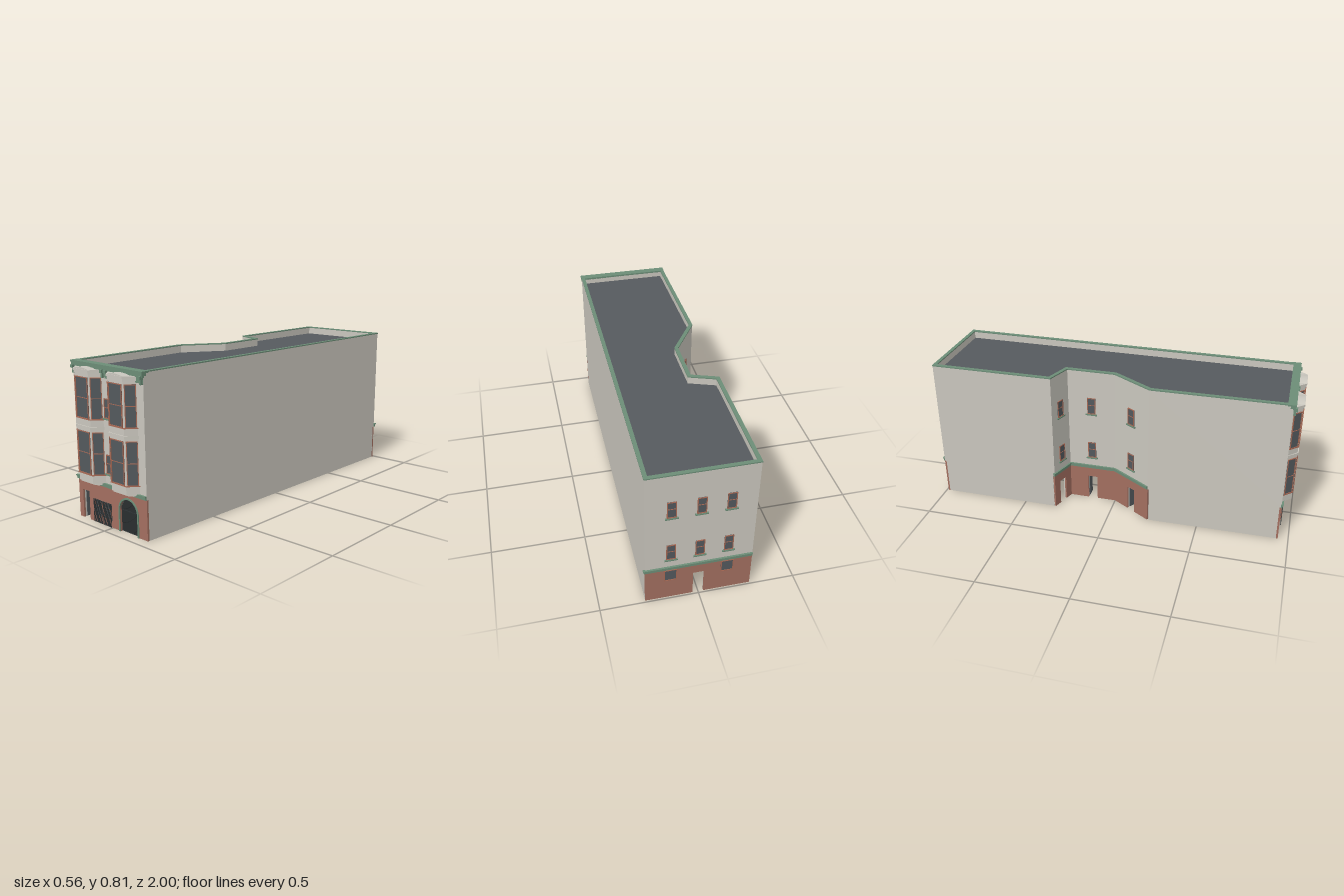
import * as THREE from 'three';

const mat = (name, color) => Object.assign(new THREE.MeshStandardMaterial({ color }), { name });
const stone = mat('stone', 0xcac7be);
const brick = mat('brick', 0xa36f60);
const green = mat('green trim', 0x6c8d77);
const frameMat = mat('terracotta frame', 0xa96a55);
const glass = mat('dark glass', 0x53595d);
const roofMat = mat('roof felt', 0x565a5e);
roofMat.side = THREE.DoubleSide;
const iron = mat('iron', 0x2f3436);

// Footprint [x, z]; each edge runs left to right when seen from outside
const plan = [[-0.263, 0.945], [0.258, 0.945], [0.271, -0.99], [-0.269, -0.99],
  [-0.269, -0.315], [-0.13, -0.265], [-0.13, 0], [-0.269, 0.22]];
const ROOF = 0.768, TOP = 0.812, BAND = 0.203;

function mesh(parent, name, geo, material, x = 0, y = 0, z = 0) {
  const m = new THREE.Mesh(geo, material);
  m.name = name;
  m.position.set(x, y, z);
  parent.add(m);
  return m;
}

// Box given by its limits
function box(parent, name, material, x0, x1, y0, y1, z0, z1) {
  return mesh(parent, name, new THREE.BoxGeometry(x1 - x0, y1 - y0, z1 - z0), material,
    (x0 + x1) / 2, (y0 + y1) / 2, (z0 + z1) / 2);
}

const extrude = (shape, depth) =>
  new THREE.ExtrudeGeometry(shape, { depth, bevelEnabled: false, curveSegments: 16 });

// Moves every edge of the footprint outwards by d, with mitred corners
function offset(points, d) {
  const n = points.length;
  const normal = (a, b) => {
    const l = Math.hypot(b[0] - a[0], b[1] - a[1]);
    return [-(b[1] - a[1]) / l, (b[0] - a[0]) / l];
  };
  return points.map((p, i) => {
    const n1 = normal(points[(i + n - 1) % n], p), n2 = normal(p, points[(i + 1) % n]);
    const k = d / (1 + n1[0] * n2[0] + n1[1] * n2[1]);
    return [p[0] + (n1[0] + n2[0]) * k, p[1] + (n1[1] + n2[1]) * k];
  });
}

const flat = pts => pts.map(([x, z]) => new THREE.Vector2(x, -z));

// Upright prism from a floor outline, with an optional hole
function prism(pts, height, hole) {
  const s = new THREE.Shape(flat(pts));
  if (hole) s.holes.push(new THREE.Path(flat(hole)));
  return extrude(s, height).rotateX(-Math.PI / 2);
}

// Group whose x runs from a to b and whose z points outwards
function face(parent, name, a, b) {
  const g = new THREE.Group();
  g.name = name;
  g.position.set(a[0], 0, a[1]);
  g.rotation.y = Math.atan2(a[1] - b[1], b[0] - a[0]);
  g.userData.len = Math.hypot(b[0] - a[0], b[1] - a[1]);
  parent.add(g);
  return g;
}

// Ground floor outline with openings cut up from the floor
function wallShape(len, openings) {
  const s = new THREE.Shape();
  s.moveTo(0, 0);
  for (const o of openings) {
    s.lineTo(o.x0, 0);
    s.lineTo(o.x0, o.h);
    if (o.arch) s.absarc((o.x0 + o.x1) / 2, o.h, (o.x1 - o.x0) / 2, Math.PI, 0, true);
    s.lineTo(o.x1, o.h);
    s.lineTo(o.x1, 0);
  }
  s.lineTo(len, 0);
  s.lineTo(len, BAND);
  s.lineTo(0, BAND);
  return s;
}

function brickWall(g, openings) {
  const s = wallShape(g.userData.len, openings), len = g.userData.len;
  mesh(g, 'brickFacing', extrude(s, 0.01), brick, 0, 0, -0.01);
  mesh(g, 'innerWall', extrude(s, 0.008), stone, 0, 0, -0.018);
  box(g, 'bandCourse', green, -0.006, len, BAND, 0.217, -0.004, 0.006);
  box(g, 'bandCap', green, -0.01, len, 0.217, 0.223, -0.004, 0.01);
  // Doors stand open into the building
  for (const o of openings) if (!o.arch)
    box(g, 'openDoor', glass, o.x0, o.x0 + 0.004, 0.003, o.h, -0.068, -0.018);
}

// Framed glass with a crossbar and an optional sill
function sash(g, x0, x1, y0, y1, mid, sill) {
  const f = 0.004;
  box(g, 'windowGlass', glass, x0, x1, y0, y1, -0.001, 0.002);
  const s = new THREE.Shape(flat([[x0, -y0], [x1, -y0], [x1, -y1], [x0, -y1]]));
  s.holes.push(new THREE.Path(flat([[x0 + f, -y0 - f], [x1 - f, -y0 - f], [x1 - f, -y1 + f], [x0 + f, -y1 + f]])));
  mesh(g, 'windowFrame', extrude(s, 0.006), frameMat, 0, 0, -0.001);
  if (mid) box(g, 'crossbar', frameMat, x0, x1, mid - 0.0015, mid + 0.0015, 0, 0.004);
  if (sill) box(g, 'windowSill', green, x0 - 0.009, x1 + 0.009, y0 - 0.007, y0, -0.001, 0.009);
}

function sashPair(g, x, w = 0.046) {
  sash(g, x - w / 2, x + w / 2, 0.275, 0.372, 0.328, true);
  sash(g, x - w / 2, x + w / 2, 0.553, 0.65, 0.606, true);
}

// Two-storey canted bay window
function bay(parent, cx) {
  const g = new THREE.Group();
  g.name = 'bayWindow';
  g.position.set(cx, 0, 0.945);
  parent.add(g);
  const outline = e => [[-0.099 - e, -0.002], [-0.053 - e * 0.6, 0.046 + e],
    [0.053 + e * 0.6, 0.046 + e], [0.099 + e, -0.002]];
  const layer = (name, e, y0, y1, m = stone) => mesh(g, name, prism(outline(e), y1 - y0), m, 0, y0);
  layer('bayBody', 0, 0.222, 0.775);
  layer('bayFoot', -0.03, 0.203, 0.209);
  layer('bayFoot', -0.017, 0.209, 0.215);
  layer('bayFoot', -0.006, 0.215, 0.222);
  layer('bayMoulding', 0.005, 0.492, 0.507);
  layer('bayCrown', 0.004, 0.764, 0.775);
  layer('bayCrown', 0.007, 0.775, 0.785);
  for (const y of [0.261, 0.54]) layer('bayLedge', 0.004, y, y + 0.004, frameMat);
  const p = outline(0);
  for (let i = 0; i < 3; i++) {
    const side = face(g, 'bayFace', p[i], p[i + 1]), l = side.userData.len;
    sash(side, 0.006, l - 0.006, 0.265, 0.48, 0.373);
    sash(side, 0.006, l - 0.006, 0.544, 0.748, 0.646);
  }
  // Shallow curved pediment
  const s = new THREE.Shape();
  s.moveTo(-0.056, 0);
  s.quadraticCurveTo(0, 0.016, 0.056, 0);
  mesh(g, 'bayPediment', extrude(s, 0.05), stone, 0, 0.785, 0);
}

function grille(g, x0, x1) {
  sash(g, x0 + 0.002, x1 - 0.002, 0.035, 0.122, 0.092);
  const n = 9;
  for (let i = 0; i <= n; i++) {
    const x = x0 + (x1 - x0) * i / n;
    box(g, 'grilleBar', iron, x - 0.0012, x + 0.0012, 0.003, 0.125, 0.006, 0.0084);
  }
  for (const y of [0.006, 0.06, 0.119]) box(g, 'grilleRail', iron, x0, x1, y, y + 0.003, 0.005, 0.008);
}

function gate(g, cx, r, spring) {
  const arch = (path, q) => {
    path.moveTo(cx - q, 0);
    path.lineTo(cx - q, spring);
    path.absarc(cx, spring, q, Math.PI, 0, true);
    path.lineTo(cx + q, 0);
    return path;
  };
  const s = arch(new THREE.Shape(), r + 0.008);
  s.lineTo(cx + r, 0);
  s.lineTo(cx + r, spring);
  s.absarc(cx, spring, r, 0, Math.PI, false);
  s.lineTo(cx - r, 0);
  mesh(g, 'gateArch', extrude(s, 0.015), green, 0, 0, -0.01);
  const n = 17;
  for (let i = 0; i < n; i++) {
    const dx = r * (2 * (i + 0.5) / n - 1), h = spring + Math.sqrt(r * r - dx * dx);
    box(g, 'gateBar', iron, cx + dx - 0.0018, cx + dx + 0.0018, 0.002, h, -0.012, -0.008);
  }
  box(g, 'gateRail', iron, cx - r, cx + r, spring, spring + 0.004, -0.012, -0.008);
  box(g, 'gateRail', iron, cx - r, cx + r, 0.002, 0.006, -0.012, -0.008);
}

export function createModel() {
  const building = new THREE.Group();
  building.name = 'townBuilding';

  // Upper walls, parapet coping and roof
  mesh(building, 'upperWalls', prism(plan, 0.806 - BAND, offset(plan, -0.016)), stone, 0, BAND);
  mesh(building, 'parapetCoping', prism(offset(plan, 0.002), 0.006, offset(plan, -0.018)), green, 0, 0.806);
  mesh(building, 'roof', new THREE.ShapeGeometry(new THREE.Shape(flat(offset(plan, -0.014))))
    .rotateX(-Math.PI / 2), roofMat, 0, ROOF);

  const names = ['frontWall', 'rightParty', 'backWall', 'rearParty', 'courtRear', 'courtMiddle', 'courtSlant', 'frontParty'];
  const walls = plan.map((p, i) => face(building, names[i], p, plan[(i + 1) % plan.length]));

  // Plain ground floor side walls
  for (const i of [1, 3, 7])
    box(walls[i], 'sideWall', stone, 0.01, walls[i].userData.len - 0.01, 0, BAND, -0.018, 0);

  // Street front, measured from the left corner
  const front = walls[0], X = x => x - plan[0][0];
  brickWall(front, [{ x0: X(-0.232), x1: X(-0.18), h: 0.15 },
    { x0: X(0.06), x1: X(0.19), h: 0.11, arch: true }]);
  gate(front, X(0.125), 0.065, 0.11);
  grille(front, X(-0.137), X(-0.075));
  grille(front, X(-0.064), X(-0.002));
  sashPair(front, X(-0.005));
  for (const x of [-0.137, 0.115]) bay(building, x);

  // Cornice with brackets
  const L = front.userData.len;
  box(front, 'corniceFrieze', green, 0, L, 0.755, 0.79, -0.004, 0.004);
  box(front, 'corniceStep', green, -0.002, L + 0.002, 0.782, 0.79, -0.004, 0.008);
  box(front, 'corniceTop', green, -0.003, L + 0.003, 0.79, 0.803, -0.016, 0.01);
  box(front, 'corniceCap', green, -0.005, L + 0.005, 0.803, TOP, -0.03, 0.013);
  for (const x of [-0.252, -0.026, 0.003, 0.25]) {
    box(front, 'corniceBracket', green, X(x) - 0.008, X(x) + 0.008, 0.774, 0.79, 0, 0.02);
    box(front, 'corniceBracket', green, X(x) - 0.005, X(x) + 0.005, 0.75, 0.774, 0, 0.013);
  }

  // Back wall
  const back = walls[2], W = back.userData.len;
  brickWall(back, [{ x0: W / 2 - 0.028, x1: W / 2 + 0.028, h: 0.145 }]);
  for (const f of [0.235, 0.5, 0.765]) sashPair(back, W * f);
  for (const f of [0.235, 0.765]) sash(back, W * f - 0.032, W * f + 0.032, 0.125, 0.198);

  // Three walls of the side court
  for (const i of [4, 5, 6]) {
    const c = walls[i].userData.len / 2;
    brickWall(walls[i], [{ x0: c - 0.027, x1: c + 0.027, h: 0.145 }]);
    sashPair(walls[i], c);
  }
  return building;
}
